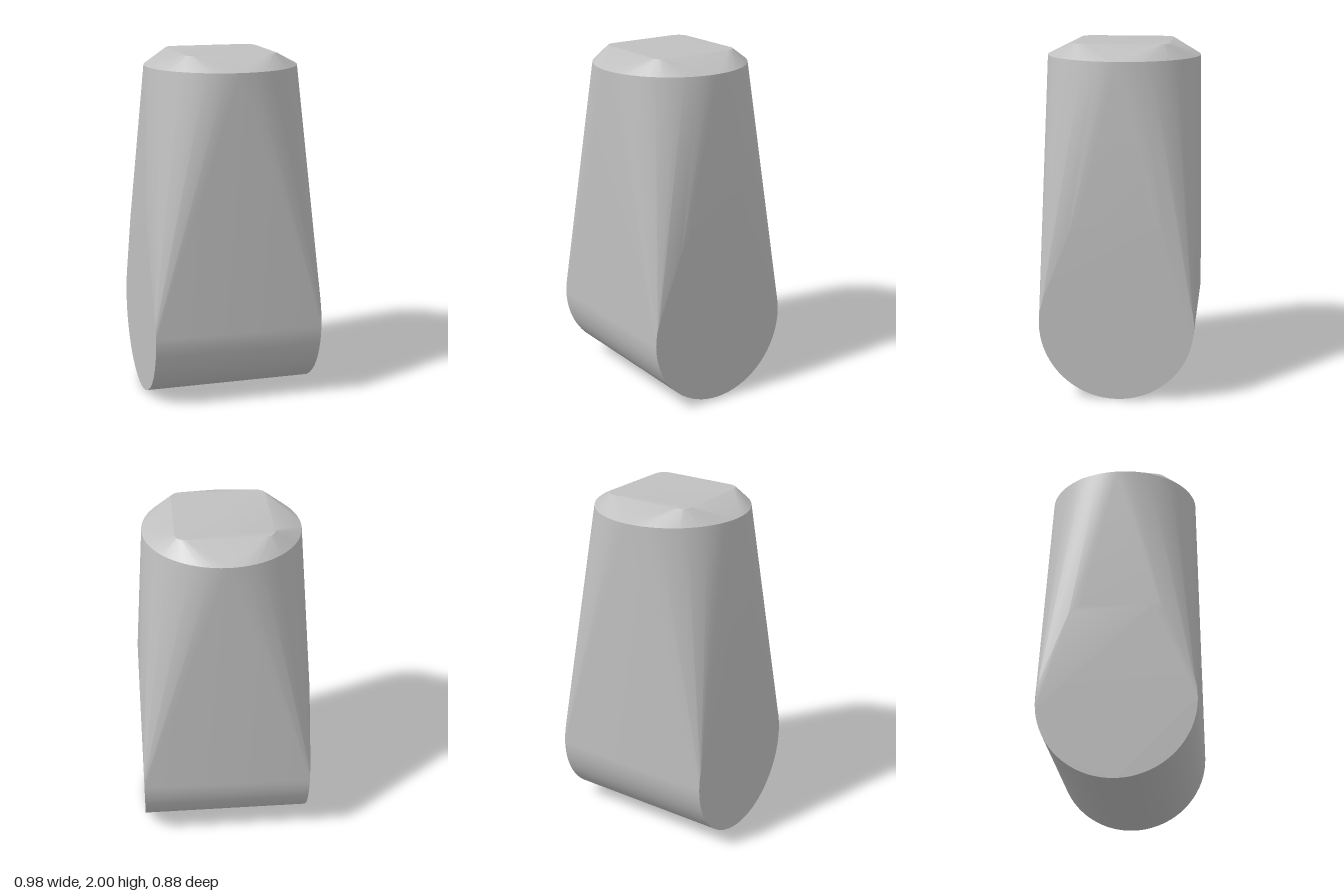
import * as THREE from 'three';
import { ConvexGeometry } from 'three/addons/geometries/ConvexGeometry.js';
import { toCreasedNormals } from 'three/addons/utils/BufferGeometryUtils.js';

const SEGMENTS = 72;
const RADIUS = 0.44;
const HALF_WIDTH = 0.49;

export function createModel() {
  const group = new THREE.Group();
  const grey = new THREE.MeshStandardMaterial({ color: 0xc0c0c0 });
  grey.name = 'light grey';

  const points = [];
  const add = (x, y, z) => points.push(new THREE.Vector3(x, y, z));

  for (let i = 0; i < SEGMENTS; i++) {
    const a = (i / SEGMENTS) * Math.PI * 2;
    const c = RADIUS * Math.cos(a), s = RADIUS * Math.sin(a);
    // round shoulder near the top
    add(c, 1.92, s);
    // lying barrel that forms the rounded foot
    for (const side of [-1, 1]) add(side * HALF_WIDTH, RADIUS + s, c);
  }

  // raised rounded square on top, and the top of the flat side cheeks
  const half = 0.27, corner = 0.06;
  for (const sx of [-1, 1]) for (const sz of [-1, 1]) {
    for (let i = 0; i <= 6; i++) {
      const a = (i / 6) * Math.PI / 2;
      const u = half - corner + corner * Math.cos(a);
      const v = half - corner + corner * Math.sin(a);
      add(sx * u, 2, sz * v);
      add(sx * HALF_WIDTH, 1.01 - half + v, sz * u);
    }
  }

  // skin stretched over all the sections
  const body = new THREE.Mesh(toCreasedNormals(new ConvexGeometry(points), 0.5), grey);
  body.name = 'body';
  group.add(body);
  return group;
}
